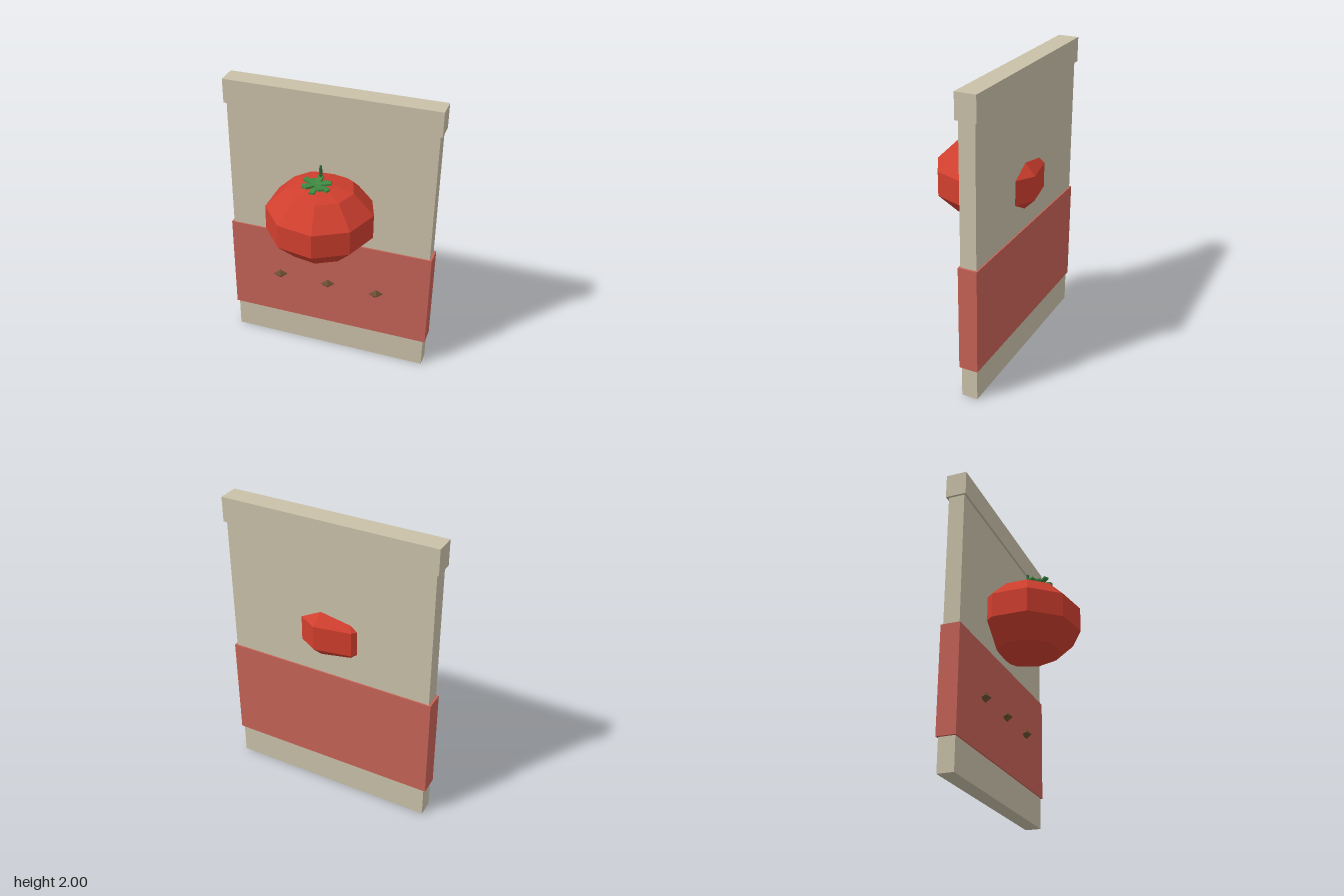
import * as THREE from 'three';

const mat = (name, color) => {
  const m = new THREE.MeshStandardMaterial({ color });
  m.name = name;
  m.flatShading = true;
  return m;
};

export function createModel() {
  const root = new THREE.Group();
  root.name = 'tomatoSeedPacket';
  const cream = mat('cream paper', 0xc9c0a8);
  const coral = mat('coral band', 0xc56256);
  const red = mat('tomato red', 0xd03f2e);
  const leafGreen = mat('leaf green', 0x3f8a42);
  const stemGreen = mat('stem green', 0x2f6e3c);
  const brown = mat('seed brown', 0x6b4e30);

  const add = (name, geometry, material, x, y, z, parent = root) => {
    const mesh = new THREE.Mesh(geometry, material);
    mesh.name = name;
    mesh.position.set(x, y, z);
    parent.add(mesh);
    return mesh;
  };

  // Flat packet with a folded top and a wraparound label band
  const packetZ = -0.223;
  add('packetBody', new THREE.BoxGeometry(1.405, 1.9, 0.108), cream, 0, 0.95, packetZ);
  add('packetFold', new THREE.BoxGeometry(1.435, 0.164, 0.138), cream, 0, 1.918, packetZ);
  add('labelBand', new THREE.BoxGeometry(1.435, 0.704, 0.127), coral, 0, 0.567, packetZ);

  // Squat faceted tomato, passing through the packet
  const tomatoGeometry = new THREE.SphereGeometry(0.374, 9, 5);
  tomatoGeometry.scale(1, 0.27 / 0.374, 1);
  tomatoGeometry.rotateY(Math.PI);
  add('tomato', tomatoGeometry, red, 0, 1.213, 0);

  // Calyx: five tilted strips crossing into a ten-pointed star
  const calyx = new THREE.Group();
  calyx.name = 'calyx';
  calyx.position.set(0, 1.498, 0.08);
  root.add(calyx);
  const leafGeometry = new THREE.BoxGeometry(0.036, 0.014, 0.186);
  for (let i = 0; i < 5; i++) {
    const leaf = add('calyxLeaf', leafGeometry, leafGreen, 0, 0, 0, calyx);
    leaf.rotation.set(0.13, i * Math.PI * 0.4, 0, 'YXZ');
  }
  add('stem', new THREE.CylinderGeometry(0.009, 0.012, 0.12, 6), stemGreen, 0, 1.53, 0);

  // Row of seeds on the label
  const seedGeometry = new THREE.OctahedronGeometry(0.035);
  seedGeometry.scale(1.45, 0.97, 1);
  for (const x of [-0.353, 0, 0.353]) {
    add('seed', seedGeometry, brown, x, 0.567, -0.14).rotation.y = 0.3;
  }
  return root;
}
